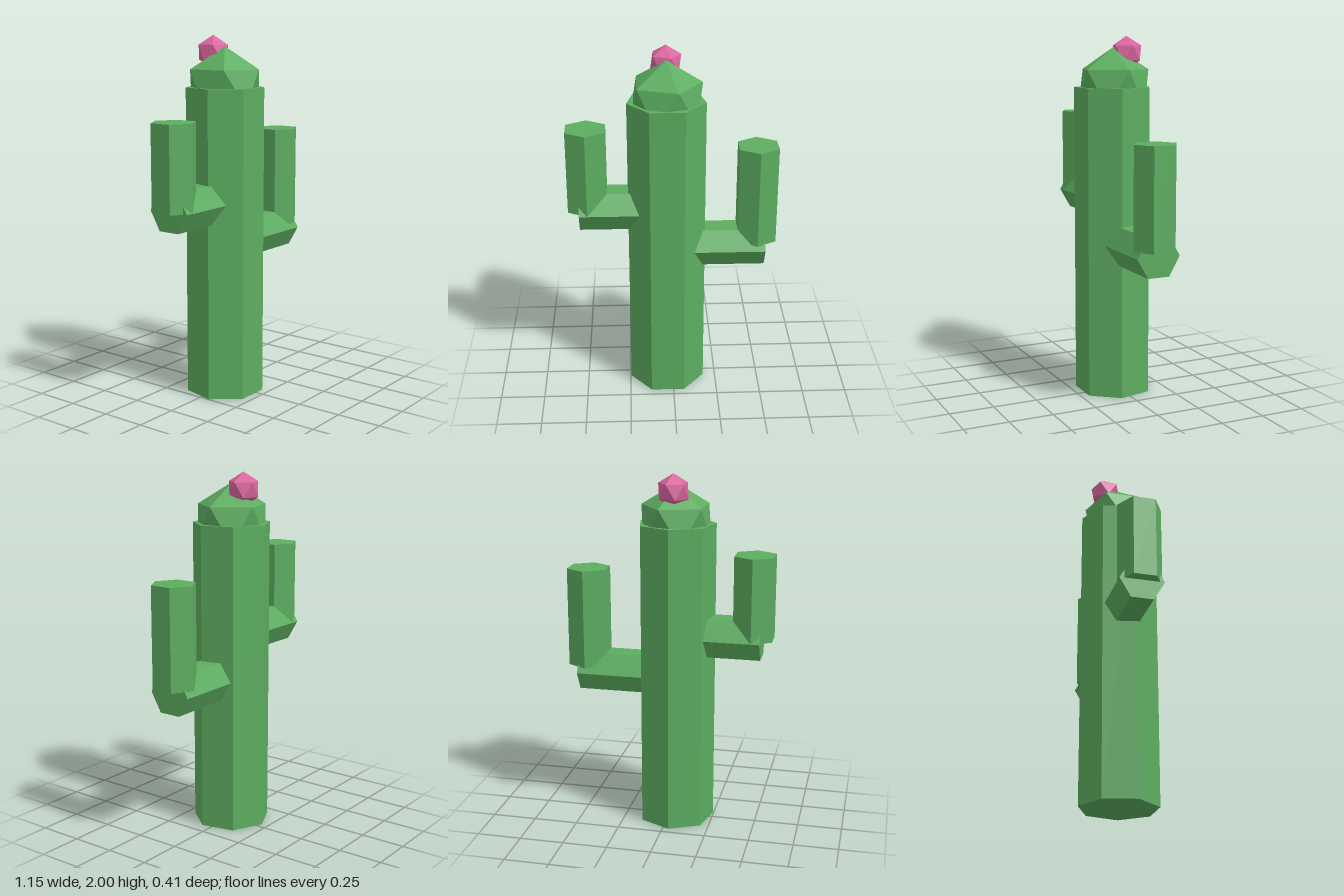
import * as THREE from 'three';

const CX = -0.033, CZ = 0.008; // trunk axis

export function createModel() {
  const group = new THREE.Group();
  group.name = 'cactus';
  const green = new THREE.MeshStandardMaterial({ color: 0x5cad60 });
  green.name = 'cactusGreen';
  const pink = new THREE.MeshStandardMaterial({ color: 0xdb669f });
  pink.name = 'flowerPink';

  const add = (parent, name, geometry, material, x, y, z) => {
    // split faces for faceted normals
    const geo = geometry.index ? geometry.toNonIndexed() : geometry;
    geo.computeVertexNormals();
    const mesh = new THREE.Mesh(geo, material);
    mesh.name = name;
    mesh.position.set(x, y, z);
    parent.add(mesh);
    return mesh;
  };

  // icosahedron standing on one corner, upper ring corner towards +x
  const ico = (r) =>
    new THREE.IcosahedronGeometry(r, 0).rotateZ(-Math.atan(2 / (1 + Math.sqrt(5))));

  // seven-sided trunk with a flat side in front
  const trunkH = 1.722;
  add(group, 'trunk', new THREE.CylinderGeometry(0.218, 0.218, trunkH, 7).rotateY(Math.PI),
    green, CX, trunkH / 2, CZ);
  add(group, 'trunkCap', ico(0.218), green, CX, trunkH, CZ);
  add(group, 'flower', ico(0.093), pink, CX, 1.907, -0.071);

  // arms: a horizontal six-sided branch and an upright one
  const arms = [
    { name: 'leftArm', side: 1, y: 0.865, bottom: 0.897, top: 1.454 },
    { name: 'rightArm', side: -1, y: 1.098, bottom: 1.098, top: 1.565 },
  ];
  const R = 0.124, reach = 0.515, inner = 0.03;
  for (const { name, side, y, bottom, top } of arms) {
    const arm = new THREE.Group();
    arm.name = name;
    group.add(arm);
    add(arm, name + 'Branch',
      new THREE.CylinderGeometry(R, R, reach - inner, 6).rotateZ(Math.PI / 2),
      green, side * (reach + inner) / 2, y, CZ);
    add(arm, name + 'Upright', new THREE.CylinderGeometry(R, R, top - bottom, 6),
      green, side * 0.469, (top + bottom) / 2, CZ);
  }
  return group;
}
